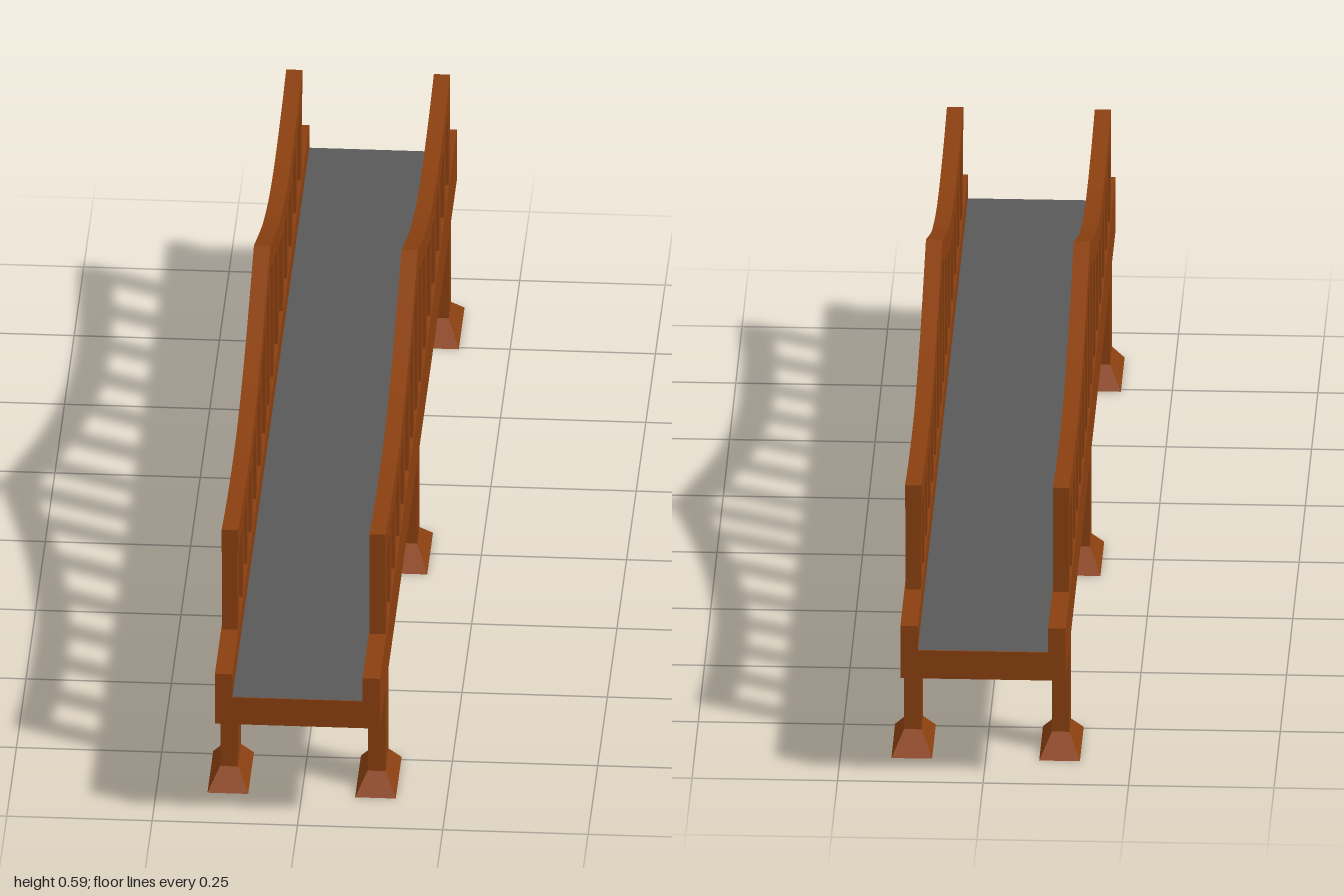
import * as THREE from 'three';

const wood = new THREE.MeshStandardMaterial({ color: 0x8b4010, flatShading: true });
const asphalt = new THREE.MeshStandardMaterial({ color: 0x595959, flatShading: true });

const SIDE_X = 0.127;   // centre line of each side
const THICK = 0.03;
const DECK_LOW = 0.193, DECK_TOP = 0.245, CURB_TOP = 0.29;
const RAIL_DEPTH = 0.043;

// Upper edge of half the rail, from the outer end to the central peak
const railCurve = new THREE.SplineCurve([
  [0.838, 0.484], [0.7, 0.469], [0.53, 0.463], [0.4, 0.472], [0.25, 0.503], [0.12, 0.546], [0, 0.59],
].map(([z, y]) => new THREE.Vector2(z, y)));
const halfRail = railCurve.getPoints(24);

function railTop(z) {
  const d = Math.abs(z);
  for (let i = 1; i < halfRail.length; i++) {
    const a = halfRail[i - 1], b = halfRail[i];
    if (d >= b.x) return THREE.MathUtils.mapLinear(d, a.x, b.x, a.y, b.y);
  }
  return halfRail[halfRail.length - 1].y;
}

function add(parent, name, geometry, material = wood) {
  const mesh = new THREE.Mesh(geometry, material);
  mesh.name = name;
  parent.add(mesh);
  return mesh;
}

function box(parent, name, w, y0, y1, depth, x, z) {
  const mesh = add(parent, name, new THREE.BoxGeometry(w, y1 - y0, depth));
  mesh.position.set(x, (y0 + y1) / 2, z);
  return mesh;
}

// Box whose top face is narrowed to the leg's section
function footGeometry(w, h, d, topW, topD) {
  const g = new THREE.BoxGeometry(w, h, d);
  const p = g.attributes.position;
  for (let i = 0; i < p.count; i++) {
    if (p.getY(i) > 0) p.setXYZ(i, Math.sign(p.getX(i)) * topW / 2, h / 2, Math.sign(p.getZ(i)) * topD / 2);
  }
  g.computeVertexNormals();
  return g;
}

// Curved rail: the half outline mirrored about the peak
function railGeometry() {
  const top = [...halfRail, ...halfRail.slice(0, -1).reverse().map(p => new THREE.Vector2(-p.x, p.y))];
  const bottom = top.map(p => new THREE.Vector2(p.x, p.y - RAIL_DEPTH)).reverse();
  const g = new THREE.ExtrudeGeometry(new THREE.Shape([...top, ...bottom]), { depth: 0.028, bevelEnabled: false });
  return g.translate(0, 0, -0.014).rotateY(Math.PI / 2);
}

export function createModel() {
  const bridge = new THREE.Group();
  bridge.name = 'bridge';

  // Deck and road surface
  box(bridge, 'deck', 2 * SIDE_X - THICK, DECK_LOW, DECK_TOP, 2, 0, 0);
  const road = add(bridge, 'roadSurface', new THREE.PlaneGeometry(2 * SIDE_X - THICK, 2).rotateX(-Math.PI / 2), asphalt);
  road.position.y = DECK_TOP + 0.001;

  const postSpots = [0, 0.102, 0.222, 0.342, 0.46, 0.578, 0.7, 0.818];
  const legs = [
    { z: 0.817, depth: 0.08, footZ: 0.816 },
    { z: 0, depth: 0.06, footZ: 0 },
    { z: -0.82, depth: 0.06, footZ: -0.82 },
  ];

  for (const s of [1, -1]) {
    const side = new THREE.Group();
    side.name = s > 0 ? 'leftSide' : 'rightSide';
    side.position.x = s * SIDE_X;
    bridge.add(side);

    box(side, 'curb', THICK, DECK_LOW, CURB_TOP, 2, 0, 0);
    add(side, 'curvedRail', railGeometry());

    // Posts rising from the curb into the rail
    for (const d of postSpots) {
      for (const z of d ? [d, -d] : [0]) {
        box(side, 'railPost', 0.027, CURB_TOP - 0.01, railTop(z) - RAIL_DEPTH * 0.6, 0.039, 0, z);
      }
    }

    // Legs with flared feet
    for (const { z, depth, footZ } of legs) {
      box(side, 'leg', THICK, 0.03, DECK_LOW, depth, 0, z);
      const foot = add(side, 'foot', footGeometry(0.07, 0.035, 0.152, THICK, depth));
      foot.position.set(0, 0.0175, footZ);
    }
  }
  return bridge;
}
